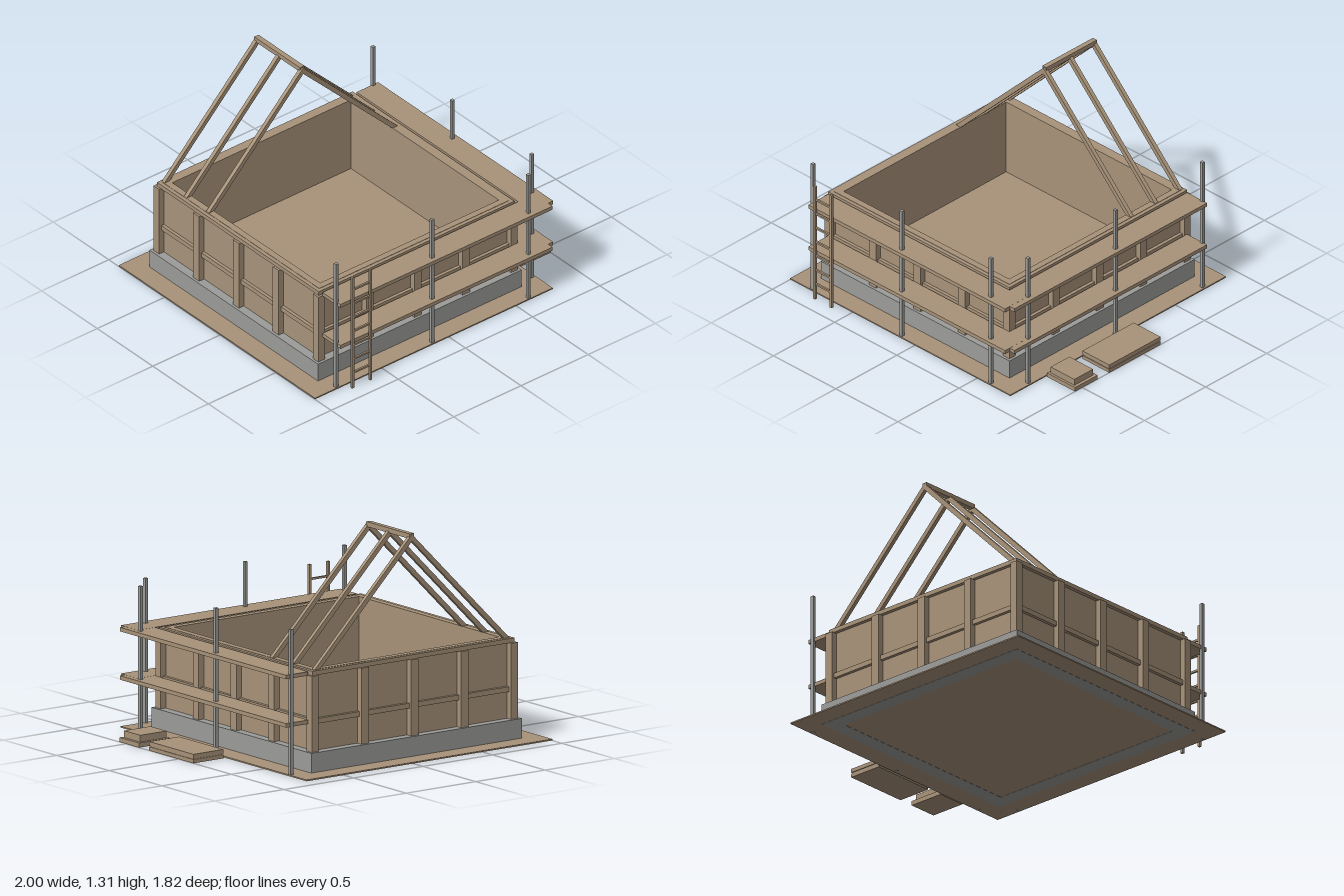
import * as THREE from 'three';

const CX = -0.117, CZ = -0.027; // centre of the house

export function createModel() {
  const wood = new THREE.MeshStandardMaterial({ color: 0xa8937a });
  wood.name = 'timber';
  const grey = new THREE.MeshStandardMaterial({ color: 0x9c9c9a });
  grey.name = 'concreteAndSteel';

  const model = new THREE.Group();
  model.name = 'houseUnderConstruction';
  const house = new THREE.Group();
  house.name = 'house';
  house.position.set(CX, 0, CZ);
  model.add(house);

  // Box given by its limits on each axis
  const box = (parent, name, mat, x0, x1, y0, y1, z0, z1) => {
    const m = new THREE.Mesh(new THREE.BoxGeometry(x1 - x0, y1 - y0, z1 - z0), mat);
    m.position.set((x0 + x1) / 2, (y0 + y1) / 2, (z0 + z1) / 2);
    m.name = name;
    parent.add(m);
    return m;
  };

  // Square ring lying flat, from half-width inner to half-width outer
  const ring = (name, mat, outer, inner, y0, y1) => {
    const square = (C, h) => {
      const p = new C();
      p.moveTo(-h, -h);
      p.lineTo(h, -h);
      p.lineTo(h, h);
      p.lineTo(-h, h);
      p.closePath();
      return p;
    };
    const s = square(THREE.Shape, outer);
    s.holes.push(square(THREE.Path, inner));
    const g = new THREE.ExtrudeGeometry(s, { depth: y1 - y0, bevelEnabled: false });
    g.rotateX(-Math.PI / 2);
    const m = new THREE.Mesh(g, mat);
    m.position.y = y0;
    m.name = name;
    house.add(m);
  };

  // Plot, footing and floor
  box(model, 'ground', wood, -1, 0.77, 0.001, 0.009, -0.91, 0.855);
  ring('foundation', grey, 0.758, 0.665, 0, 0.125);
  box(house, 'floor', wood, -0.665, 0.665, 0.11, 0.125, -0.665, 0.665);

  // Walls with a middle rail and a top plate
  ring('walls', wood, 0.705, 0.665, 0.125, 0.6);
  ring('middleRail', wood, 0.725, 0.69, 0.285, 0.315);
  ring('topPlate', wood, 0.728, 0.69, 0.572, 0.598);

  // Wall posts: corners and three per side
  for (const sx of [-1, 1]) for (const sz of [-1, 1]) {
    box(house, 'cornerPost', wood, sx * 0.717 - 0.025, sx * 0.717 + 0.025, 0.125, 0.572,
      sz * 0.717 - 0.025, sz * 0.717 + 0.025);
  }
  for (let side = 0; side < 4; side++) {
    const posts = new THREE.Group();
    posts.name = 'wallPosts';
    posts.rotation.y = side * Math.PI / 2;
    for (const x of [-0.358, 0, 0.358]) {
      box(posts, 'wallPost', wood, x - 0.027, x + 0.027, 0.125, 0.572, 0.695, 0.742);
    }
    house.add(posts);
  }

  // Rafter pairs, cut level at the foot and plumb at the ridge
  const rafterShape = new THREE.Shape([
    [0, 1.262], [0.662, 0.6], [0.702, 0.6], [0, 1.302],
  ].map(([x, y]) => new THREE.Vector2(x, y)));
  const rafterGeo = new THREE.ExtrudeGeometry(rafterShape, { depth: 0.025, bevelEnabled: false });
  for (const z of [-0.33, -0.53, -0.73]) {
    for (const side of [0, 1]) {
      const r = new THREE.Mesh(rafterGeo, wood);
      r.name = side ? 'leftRafter' : 'rightRafter';
      r.rotation.y = side ? 0 : Math.PI;
      r.position.set(CX, 0, side ? z - 0.0125 : z + 0.0125);
      model.add(r);
    }
  }
  box(model, 'ridgeBeam', wood, CX - 0.016, CX + 0.016, 1.277, 1.306, -0.74, -0.328);

  // Scaffold: two levels of decking on two sides
  for (const y of [0.288, 0.572]) {
    box(model, 'frontDeck', wood, -0.83, 0.75, y, y + 0.024, 0.717, 0.878);
    box(model, 'sideDeck', wood, 0.627, 0.787, y, y + 0.0235, -0.738, 0.838);
  }
  for (const [x, z] of [[-0.83, 0.84], [CX, 0.84], [0.6, 0.84],
    [0.75, 0.69], [0.75, -0.025], [0.75, -0.737]]) {
    box(model, 'scaffoldPole', grey, x - 0.01, x + 0.01, 0, 0.86, z - 0.01, z + 0.01);
  }

  // Ladder
  const ladder = new THREE.Group();
  ladder.name = 'ladder';
  for (const x of [-0.757, -0.624]) {
    box(ladder, 'ladderRail', wood, x - 0.008, x + 0.008, 0, 0.765, 0.89, 0.906);
  }
  for (let i = 0; i < 7; i++) {
    const y = 0.103 + i * 0.0957;
    box(ladder, 'ladderRung', wood, -0.75, -0.63, y - 0.006, y + 0.006, 0.892, 0.904);
  }
  model.add(ladder);

  // Stacked boards beside the house
  box(model, 'largeStackBottom', wood, 0.785, 1, 0, 0.022, -0.14, 0.28);
  box(model, 'largeStackSpacer', wood, 0.79, 0.995, 0.022, 0.03, -0.135, 0.275);
  box(model, 'largeStackTop', wood, 0.785, 1, 0.03, 0.053, -0.14, 0.28);
  box(model, 'smallStackBottom', wood, 0.775, 1, 0, 0.027, 0.375, 0.56);
  box(model, 'smallStackTop', wood, 0.79, 0.98, 0.027, 0.067, 0.392, 0.545);

  return model;
}
